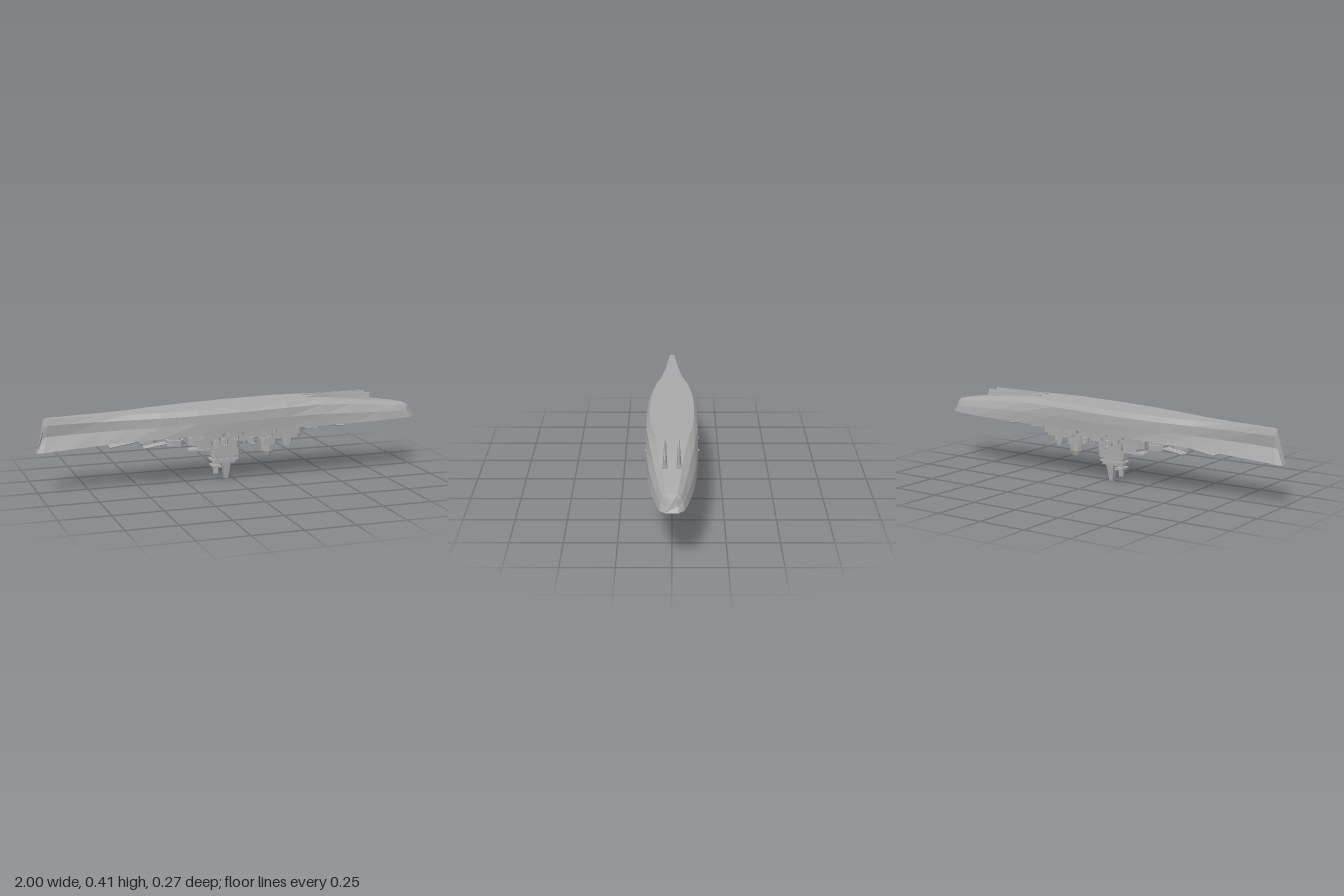
import * as THREE from 'three';

export function createModel() {
  const root = new THREE.Group();
  root.name = 'upturnedWarship';
  const grey = new THREE.MeshStandardMaterial({ color: 0xa8a8a8, flatShading: true });
  grey.name = 'ship grey';

  const add = (name, geometry, parent = root) => {
    const m = new THREE.Mesh(geometry, grey);
    m.name = name;
    parent.add(m);
    return m;
  };

  // Block with chamfered plan corners, spanning x0..x1, y0..y1, centred on zc
  const block = (name, x0, x1, y0, y1, half, c = 0.01, zc = 0, parent = root) => {
    const s = new THREE.Shape([
      [x0 + c, -half], [x1 - c, -half], [x1, -half + c], [x1, half - c],
      [x1 - c, half], [x0 + c, half], [x0, half - c], [x0, -half + c],
    ].map(([x, z]) => new THREE.Vector2(x, z)));
    const g = new THREE.ExtrudeGeometry(s, { depth: y1 - y0, bevelEnabled: false });
    g.rotateX(Math.PI / 2).translate(0, y1, zc);
    return add(name, g, parent);
  };

  // Round rod between two points
  const rod = (name, a, b, r, parent = root) => {
    const p = new THREE.Vector3(...a), q = new THREE.Vector3(...b);
    const m = add(name, new THREE.CylinderGeometry(r, r, p.distanceTo(q), 6), parent);
    m.position.copy(p).add(q).multiplyScalar(0.5);
    m.quaternion.setFromUnitVectors(new THREE.Vector3(0, 1, 0), q.sub(p).normalize());
  };

  // Loft closed rings of points along x and cap both ends
  const loft = (rings) => {
    const n = rings[0].length, pos = rings.flat(2), idx = [];
    for (let i = 0; i < rings.length - 1; i++) {
      for (let j = 0; j < n; j++) {
        const k = (j + 1) % n, a = i * n, b = a + n;
        idx.push(a + j, b + j, b + k, a + j, b + k, a + k);
      }
    }
    const last = (rings.length - 1) * n;
    for (let j = 1; j < n - 1; j++) {
      idx.push(0, j, j + 1, last, last + j + 1, last + j);
    }
    const g = new THREE.BufferGeometry();
    g.setAttribute('position', new THREE.Float32BufferAttribute(pos, 3));
    g.setIndex(idx);
    g.computeVertexNormals();
    return g;
  };

  // Hull: x at deck, x at keel, deck y, keel y, half widths from deck to keel
  const stations = [
    [-1.00, -0.962, 0.202, 0.366, 0.016, 0.005, 0.010, 0.006],
    [-0.97, -0.945, 0.205, 0.370, 0.028, 0.009, 0.018, 0.012],
    [-0.85, -0.85, 0.216, 0.371, 0.042, 0.020, 0.028, 0.021],
    [-0.70, -0.70, 0.228, 0.372, 0.057, 0.040, 0.043, 0.034],
    [-0.55, -0.55, 0.240, 0.374, 0.080, 0.067, 0.067, 0.054],
    [-0.40, -0.40, 0.249, 0.377, 0.106, 0.099, 0.098, 0.085],
    [-0.22, -0.22, 0.257, 0.382, 0.122, 0.122, 0.120, 0.106],
    [0.00, 0.00, 0.262, 0.389, 0.125, 0.128, 0.126, 0.112],
    [0.25, 0.25, 0.265, 0.396, 0.125, 0.128, 0.124, 0.105],
    [0.45, 0.45, 0.265, 0.399, 0.123, 0.122, 0.108, 0.078],
    [0.62, 0.62, 0.265, 0.383, 0.114, 0.109, 0.088, 0.056],
    [0.78, 0.78, 0.265, 0.362, 0.097, 0.088, 0.068, 0.042],
    [0.91, 0.90, 0.264, 0.345, 0.073, 0.066, 0.052, 0.032],
    [0.975, 0.955, 0.264, 0.335, 0.055, 0.050, 0.040, 0.025],
    [1.00, 0.980, 0.264, 0.322, 0.030, 0.027, 0.022, 0.014],
  ];
  const levels = [0, 0.45, 0.8, 1];
  add('hull', loft(stations.map(([xd, xk, yd, yk, ...w]) => {
    const side = levels.map((t, i) => [
      xd + (xk - xd) * Math.min(1, t * 1.8), yd + (yk - yd) * t, w[i],
    ]);
    return [...side, ...side.slice().reverse().map(([x, y, z]) => [x, y, -z])];
  })));

  // Twin wedge skegs at the stern
  for (const s of [-1, 1]) {
    const zc = 0.032 * s;
    add('skeg', loft([[0.40, 0.388, 0.004], [0.58, 0.36, 0.012], [0.745, 0.35, 0.016]].map(
      ([x, y, w]) => [
        [x, y, zc + w], [x, 0.406, zc + 0.003], [x, 0.406, zc - 0.003], [x, y, zc - w],
      ])));
  }

  // Main turrets, dir is the way the guns point, drop tilts the barrels
  const turret = (name, x, y0, y1, dir, length, drop) => {
    const g = new THREE.Group();
    g.name = name;
    root.add(g);
    block('gunhouse', x - 0.045, x + 0.045, y0, y1, 0.045, 0.022, 0, g);
    block('barbette', x - 0.03, x + 0.03, y1, 0.268, 0.03, 0.015, 0, g);
    for (const z of [-0.02, 0, 0.02]) {
      const y = (y0 + y1) / 2;
      rod('barrel', [x + dir * 0.03, y, z], [x + dir * (0.045 + length), y - drop, z], 0.0045, g);
    }
  };
  turret('foremostTurret', -0.45, 0.218, 0.243, -1, 0.145, 0.024);
  turret('secondTurret', -0.305, 0.194, 0.222, -1, 0.115, 0.018);
  turret('aftTurret', 0.435, 0.238, 0.262, 1, 0.13, 0.012);

  // Deckhouses
  block('mainDeckhouse', -0.22, 0.38, 0.225, 0.268, 0.085, 0.045);
  block('aftDeckhouse', 0.16, 0.37, 0.2, 0.23, 0.05, 0.03);
  block('midDeckhouse', -0.13, 0.13, 0.205, 0.23, 0.063, 0.025);
  block('forwardDeckhouse', -0.24, -0.1, 0.19, 0.23, 0.045, 0.025);
  block('forwardPlatform', -0.235, -0.1, 0.158, 0.166, 0.032, 0.015);
  block('forwardSupport', -0.19, -0.1, 0.16, 0.195, 0.025, 0.01);

  // Bridge tower
  block('bridgeBase', -0.115, 0.025, 0.168, 0.21, 0.063, 0.02);
  block('bridgeTower', -0.115, 0.035, 0.122, 0.17, 0.034, 0.012);
  block('bridgeTop', -0.105, 0.02, 0.085, 0.125, 0.027, 0.012);
  block('bridgeGallery', -0.12, 0.03, 0.1, 0.107, 0.034, 0.012);
  const mast = new THREE.CylinderGeometry(0.032, 0.014, 0.095, 4);
  mast.rotateY(Math.PI / 4).translate(-0.033, 0.0475, -0.003);
  add('mastTower', mast);
  block('rangefinderPost', -0.1, -0.075, 0.028, 0.09, 0.008, 0.003);
  block('rangefinderBar', -0.112, -0.068, 0.065, 0.076, 0.034, 0.003);

  // Funnel, with a narrowed cap and an open dark mouth
  const funnel = new THREE.LatheGeometry([
    [0, 0.112], [0.012, 0.112], [0.014, 0.1], [0.02, 0.105], [0.03, 0.13], [0.03, 0.21],
  ].map(([r, y]) => new THREE.Vector2(r, y)), 8);
  funnel.scale(1.15, 1, 0.95).translate(0.192, 0, 0);
  add('funnel', funnel);
  block('funnelCollar', 0.15, 0.235, 0.165, 0.2, 0.034, 0.014);

  // Aft control tower and its mast
  block('aftControlTower', 0.275, 0.325, 0.165, 0.205, 0.022, 0.01);
  block('aftControlTop', 0.285, 0.315, 0.148, 0.167, 0.014, 0.005);

  // Side gun mounts, mirrored
  for (const s of [-1, 1]) {
    for (const x of [-0.12, -0.02, 0.16]) {
      block('sidePlatform', x - 0.045, x + 0.045, 0.243, 0.266, 0.024, 0.012, s * 0.097);
      block('sideGun', x - 0.02, x + 0.02, 0.222, 0.243, 0.016, 0.008, s * 0.1);
      for (const d of [-0.007, 0.007]) {
        rod('sideBarrel', [x + d, 0.232, s * 0.105], [x + d, 0.222, s * 0.135], 0.003);
      }
    }
    for (const x of [-0.07, 0.075]) {
      block('innerGun', x - 0.018, x + 0.018, 0.198, 0.226, 0.017, 0.008, s * 0.083);
      for (const d of [-0.006, 0.006]) {
        rod('innerBarrel', [x + d, 0.205, s * 0.09], [x + d, 0.192, s * 0.118], 0.003);
      }
    }
    // Light guns hanging amidships
    for (const x of [0.05, 0.075, 0.1]) {
      rod('lightGun', [x, 0.21, s * 0.045], [x, 0.185, s * 0.045], 0.004);
    }
  }
  return root;
}
